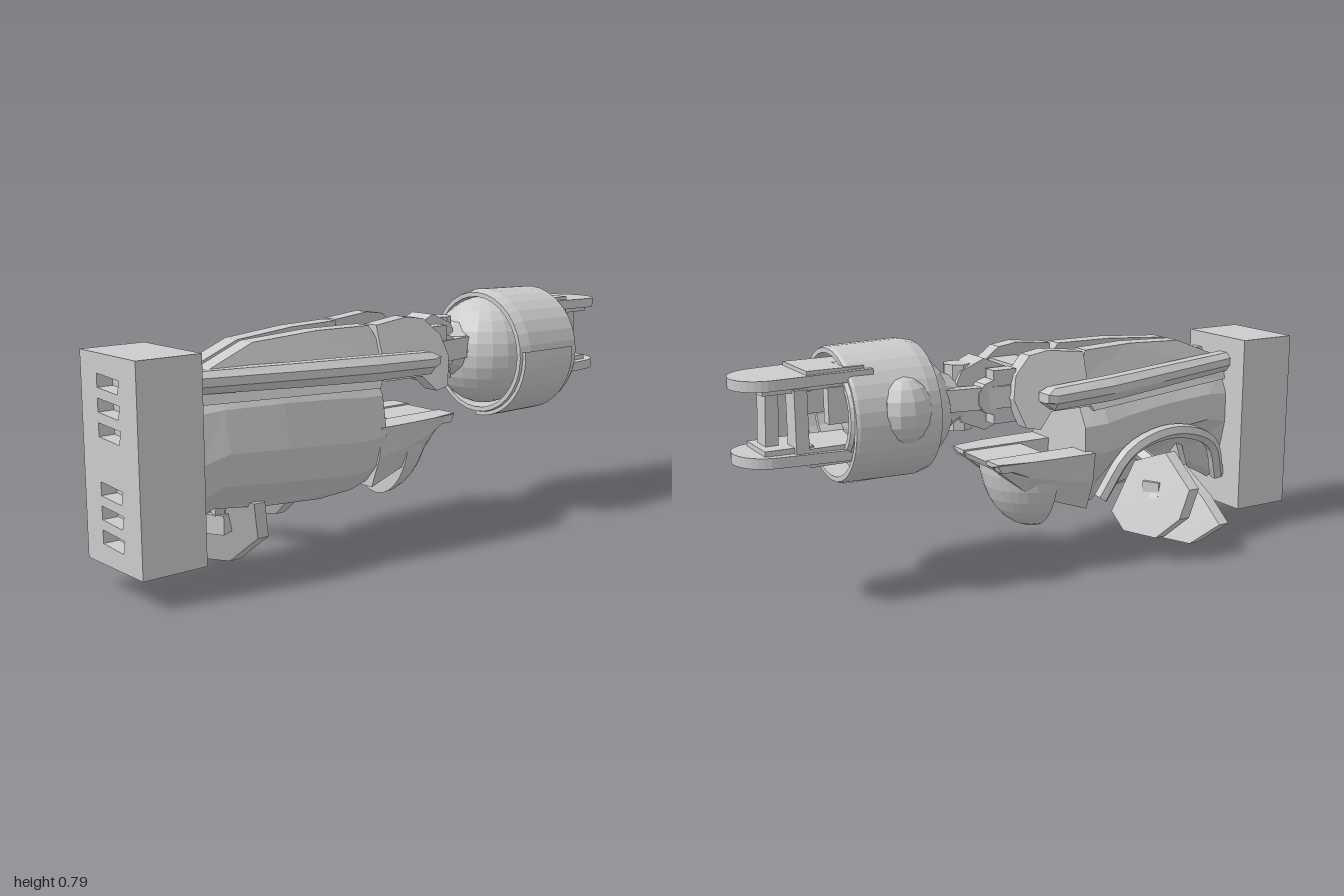
import * as THREE from 'three';

const mat = new THREE.MeshStandardMaterial({ color: 0xcccccc, flatShading: true, side: THREE.DoubleSide });

export function createModel() {
  const root = new THREE.Group();
  root.name = 'mechanicalArm';

  const add = (name, geo, x = 0, y = 0, z = 0) => {
    const m = new THREE.Mesh(geo, mat);
    m.name = name;
    m.position.set(x, y, z);
    root.add(m);
    return m;
  };
  const box = (name, x0, x1, y0, y1, z0, z1) =>
    add(name, new THREE.BoxGeometry(x1 - x0, y1 - y0, z1 - z0), (x0 + x1) / 2, (y0 + y1) / 2, (z0 + z1) / 2);
  const shapeOf = (pts) => new THREE.Shape(pts.map((p) => new THREE.Vector2(...p)));

  // Side-profile plate in xy; its z drifts from zA at x = -0.8 to zB at x = -0.15 and leans with height
  const plate = (name, pts, zA, zB, thick, lean = 0) => {
    const g = new THREE.ExtrudeGeometry(shapeOf(pts), { depth: thick, bevelEnabled: false });
    const p = g.attributes.position;
    for (let i = 0; i < p.count; i++) {
      const t = THREE.MathUtils.clamp((p.getX(i) + 0.8) / 0.65, 0, 1);
      p.setZ(i, p.getZ(i) - thick / 2 + zA + (zB - zA) * t + lean * (p.getY(i) - 0.55));
    }
    g.computeVertexNormals();
    return add(name, g);
  };

  // Turned part around the x axis, profile given as [x, radius]
  const turned = (name, pts, y, z, seg = 28, start = 0, len = Math.PI * 2) => {
    const m = add(name, new THREE.LatheGeometry(pts.map(([x, r]) => new THREE.Vector2(r, x)), seg, start, len), 0, y, z);
    m.rotation.z = -Math.PI / 2;
    return m;
  };

  // Loft through rings of equal point count, both ends capped
  const loft = (name, rings) => {
    const n = rings[0].length, pos = rings.flat(2), idx = [];
    for (let r = 0; r < rings.length - 1; r++)
      for (let i = 0; i < n; i++) {
        const a = r * n + i, b = r * n + (i + 1) % n;
        idx.push(a, a + n, b, b, a + n, b + n);
      }
    const last = (rings.length - 1) * n;
    for (let i = 1; i < n - 1; i++) idx.push(0, i, i + 1, last, last + i + 1, last + i);
    const g = new THREE.BufferGeometry();
    g.setAttribute('position', new THREE.Float32BufferAttribute(pos, 3));
    g.setIndex(idx);
    g.computeVertexNormals();
    return add(name, g);
  };

  // Mounting block with slots cut into its outer face
  box('mountingBlock', -0.95, -0.79, 0.09, 0.7, -0.12, 0.18);
  const face = shapeOf([[-0.12, 0.09], [0.18, 0.09], [0.18, 0.7], [-0.12, 0.7]]);
  for (const y of [0.24, 0.55])
    for (const k of [-1, 0, 1]) {
      const c = y + k * 0.07;
      face.holes.push(new THREE.Path([[-0.03, c - 0.018], [0.08, c - 0.025], [0.09, c + 0.015], [-0.03, c + 0.022]]
        .map((p) => new THREE.Vector2(...p))));
    }
  const faceMesh = add('slottedFace', new THREE.ExtrudeGeometry(face, { depth: 0.05, bevelEnabled: false }), -0.95);
  faceMesh.rotation.y = -Math.PI / 2;

  // Main hull: rounded belly, cut back behind along the arch
  const sections = [ // x, top, bottom, front z, back z, back z near the belly
    [-0.79, 0.58, 0.17, 0.16, -0.03, 0.0],
    [-0.7, 0.58, 0.22, 0.175, -0.05, 0.02],
    [-0.5, 0.58, 0.2, 0.19, -0.08, 0.04],
    [-0.3, 0.57, 0.18, 0.19, -0.12, 0.0],
    [-0.2, 0.56, 0.175, 0.185, -0.15, -0.08],
    [-0.11, 0.55, 0.2, 0.18, -0.15, -0.1],
  ];
  loft('hull', sections.map(([x, t, b, f, k, kb]) => {
    const h = t - b;
    return [[t, f - 0.05], [t - h * 0.15, f - 0.02], [t - h * 0.5, f], [b + h * 0.22, f - 0.03], [b + h * 0.06, f - 0.08],
      [b, (f + kb) / 2 - 0.02], [b + h * 0.06, kb + 0.03], [b + h * 0.25, kb], [t - h * 0.45, k], [t - h * 0.2, k], [t, k + 0.04]]
      .map(([y, z]) => [x, y, z]);
  }));

  // Raised lip around the arch at the back of the hull
  add('archLip', new THREE.TubeGeometry(new THREE.CatmullRomCurve3([
    [-0.77, 0.2, -0.02], [-0.7, 0.34, -0.06], [-0.5, 0.41, -0.1], [-0.3, 0.37, -0.13], [-0.2, 0.22, -0.11],
  ].map((p) => new THREE.Vector3(...p))), 18, 0.025, 6));

  // Long outer rails with a ridged outer face: x, bottom, top, then outer z of front and back
  const railRings = [
    [-0.8, 0.58, 0.645, 0.17, -0.045], [-0.45, 0.57, 0.642, 0.225, -0.13], [-0.2, 0.562, 0.638, 0.25, -0.185],
    [0.03, 0.56, 0.63, 0.252, -0.205], [0.06, 0.585, 0.615, 0.245, -0.2],
  ];
  for (const [name, col, s] of [['frontRail', 3, 1], ['backRail', 4, -1]])
    loft(name, railRings.map((r) => {
      const [x, b, t] = r, o = r[col], mid = (b + t) / 2;
      return [[b, o - s * 0.02], [mid - 0.01, o], [mid + 0.015, o], [t, o - s * 0.02], [t, o - s * 0.06], [b, o - s * 0.06]]
        .map(([y, z]) => [x, y, z]);
    }));

  // Leaning ridge panels and top slats fanning out from the block
  const ridge = [[-0.8, 0.55], [-0.15, 0.53], [-0.1, 0.62], [-0.15, 0.72], [-0.35, 0.72], [-0.58, 0.705], [-0.8, 0.62]];
  plate('ridgePanel', ridge, 0.01, -0.105, 0.06, 0.3);
  plate('ridgePanel', ridge, 0.13, 0.16, 0.06, -0.3);
  const slat = [[-0.8, 0.5], [-0.15, 0.5], [-0.11, 0.55], [-0.15, 0.62], [-0.8, 0.62]];
  for (const [a, b] of [[0.03, -0.03], [0.065, 0.03], [0.1, 0.085]]) plate('topSlat', slat, a, b, 0.042);

  // Leaning cheek plates either side of the wrist
  const cheek = [[-0.13, 0.55], [0.02, 0.55], [0.07, 0.5], [0.12, 0.51], [0.15, 0.6], [0.13, 0.67], [0.07, 0.725], [0, 0.735], [-0.13, 0.72]];
  plate('wristCheek', cheek, -0.125, -0.125, 0.055, 0.3);
  plate('wristCheek', cheek, 0.175, 0.175, 0.055, -0.3);
  box('wristBridge', 0, 0.1, 0.55, 0.69, -0.08, 0.12);

  // Fork arms carrying the hull round into the elbow
  const forkRings = [[-0.13, 0.2, 0.18], [0, 0.245, 0.178], [0.1, 0.29, 0.172], [0.215, 0.385, 0.15]];
  for (const s of [1, -1])
    loft('forkArm', forkRings.map(([x, b, w]) => [[0.4, w], [0.4, 0.075], [b, 0.075], [b, w * 0.72], [b + (0.4 - b) * 0.5, w * 0.93]]
      .map(([y, z]) => [x, y, s * z])));

  // Rounded elbow cap under the wrist
  const cap = add('elbowCap', new THREE.SphereGeometry(1, 16, 8, Math.PI / 2, Math.PI, Math.PI / 2, Math.PI / 2), 0, 0.38, 0);
  cap.scale.set(0.18, 0.245, 0.165);
  const wall = add('elbowCapBack', new THREE.CircleGeometry(1, 16, Math.PI, Math.PI), 0, 0.38, 0);
  wall.scale.set(0.165, 0.245, 1);
  wall.rotation.y = -Math.PI / 2;
  plate('elbowDeck', [[0, 0.37], [0.2, 0.37], [0.215, 0.395], [0, 0.395]], 0.0, 0.0, 0.3);

  // Thin slanted paddles, outlined in [z, y] and sheared along x
  const paddles = [
    [-0.59, [[0.11, 0.22], [0.08, 0.1], [-0.04, 0.005], [-0.13, 0.002], [-0.205, 0.08], [-0.12, 0.16], [0, 0.25]]],
    [-0.38, [[-0.06, 0.15], [-0.12, 0.095], [-0.23, 0.09], [-0.285, 0.16], [-0.285, 0.255], [-0.17, 0.36], [-0.08, 0.32]]],
  ];
  for (const [x, pts] of paddles) {
    const mean = (k) => pts.reduce((s, p) => s + p[k], 0) / pts.length;
    const zc = mean(0), yc = mean(1);
    const g = new THREE.ExtrudeGeometry(shapeOf(pts.map(([z, y]) => [-z, y])), { depth: 0.04, bevelEnabled: false });
    g.rotateY(Math.PI / 2);
    const p = g.attributes.position;
    for (let i = 0; i < p.count; i++)
      p.setX(i, p.getX(i) - 0.02 + x - 0.4 * (p.getY(i) - yc) + 0.5 * (p.getZ(i) - zc));
    g.computeVertexNormals();
    add('paddle', g);
    const hub = box('paddleHub', x - 0.06, x + 0.02, yc, yc + 0.06, zc, zc + 0.06);
    hub.rotation.y = 0.5;
    add('paddleStalk', new THREE.TubeGeometry(new THREE.CatmullRomCurve3([
      new THREE.Vector3(x, yc, zc), new THREE.Vector3(x - 0.04, yc + 0.09, zc + 0.05), new THREE.Vector3(x - 0.02, 0.35, 0.04),
    ]), 6, 0.025, 5));
  }

  // Wrist joint: faceted knuckle, crossing pins and linking bars
  const knuckle = add('wristKnuckle', new THREE.CylinderGeometry(0.115, 0.115, 0.1, 8), 0.2, 0.605, 0.01);
  knuckle.rotation.x = Math.PI / 2;
  const pin = add('wristPin', new THREE.CylinderGeometry(0.055, 0.055, 0.22, 10), 0.2, 0.605, 0.01);
  pin.rotation.x = Math.PI / 2;
  add('wristPost', new THREE.CylinderGeometry(0.045, 0.045, 0.21, 8), 0.27, 0.6, 0.01);
  turned('wristShaft', [[0.08, 0], [0.08, 0.06], [0.26, 0.065], [0.38, 0.12], [0.38, 0]], 0.59, 0.02, 10);
  for (const z of [-0.075, 0.1]) {
    const bar = box('wristLink', 0.14, 0.36, 0.57, 0.64, z - 0.02, z + 0.02);
    bar.rotation.y = z * 2;
    box('wristLug', 0.12, 0.2, 0.52, 0.69, z - 0.025, z + 0.025);
  }

  // Ball housing behind the collar
  const ball = add('ballHousing', new THREE.SphereGeometry(1, 20, 14), 0.47, 0.575, 0.035);
  ball.scale.set(0.175, 0.185, 0.175);

  // Wide collar with rim lip, inner bulkhead and an outer guard band
  turned('collar', [[0.4, 0.19], [0.4, 0.205], [0.44, 0.215], [0.67, 0.21], [0.68, 0.205], [0.68, 0.19], [0.4, 0.19]], 0.575, 0.065, 32);
  turned('collarBulkhead', [[0.6, 0.19], [0.6, 0]], 0.575, 0.065, 32);
  turned('guardBand', [[0.41, 0.2], [0.41, 0.22], [0.645, 0.22], [0.645, 0.2], [0.41, 0.2]], 0.575, 0.065, 12, -0.1, 1.7);
  const bump = add('collarBump', new THREE.SphereGeometry(0.08, 12, 8), 0.51, 0.6, -0.105);
  bump.scale.set(1.1, 1.3, 0.95);

  // Inner socket holding the gripper
  turned('gripSocket', [[0.5, 0], [0.5, 0.15], [0.68, 0.15], [0.69, 0.142], [0.69, 0.125], [0.6, 0.125], [0.6, 0]], 0.595, 0.02, 24);
  for (const z of [-0.06, 0.11]) box('socketBlock', 0.58, 0.74, 0.58, 0.69, z - 0.018, z + 0.018);

  // Gripper: rounded upper and lower jaws with thick root pads
  const jaw = shapeOf([[0.6, -0.09], [0.76, -0.085]]);
  jaw.lineTo(0.9, -0.08);
  jaw.absellipse(0.9, 0.025, 0.1, 0.105, -Math.PI / 2, Math.PI / 2, false);
  jaw.lineTo(0.6, 0.14);
  for (const [y, s] of [[0.715, 1], [0.485, -1]]) {
    const g = new THREE.ExtrudeGeometry(jaw, { depth: 0.032, bevelEnabled: false, curveSegments: 8 });
    g.translate(0, 0, -0.016);
    g.rotateX(Math.PI / 2);
    const m = add('jaw', g, 0, y, 0);
    m.rotation.z = -s * 0.02;
    m.position.y += s * 0.016;
    box('jawRoot', 0.62, 0.8, y - 0.028, y + 0.028, -0.07, 0.12);
    box('jawPad', 0.78, 0.93, y - s * 0.02 - 0.014, y - s * 0.02 + 0.014, -0.055, 0.1);
  }

  // Posts between the jaws
  const post = box('frontPost', 0.865, 0.905, 0.5, 0.69, 0, 0.07);
  post.rotation.z = 0.04;
  box('rearPost', 0.8, 0.84, 0.5, 0.69, -0.07, 0.0);
  return root;
}
